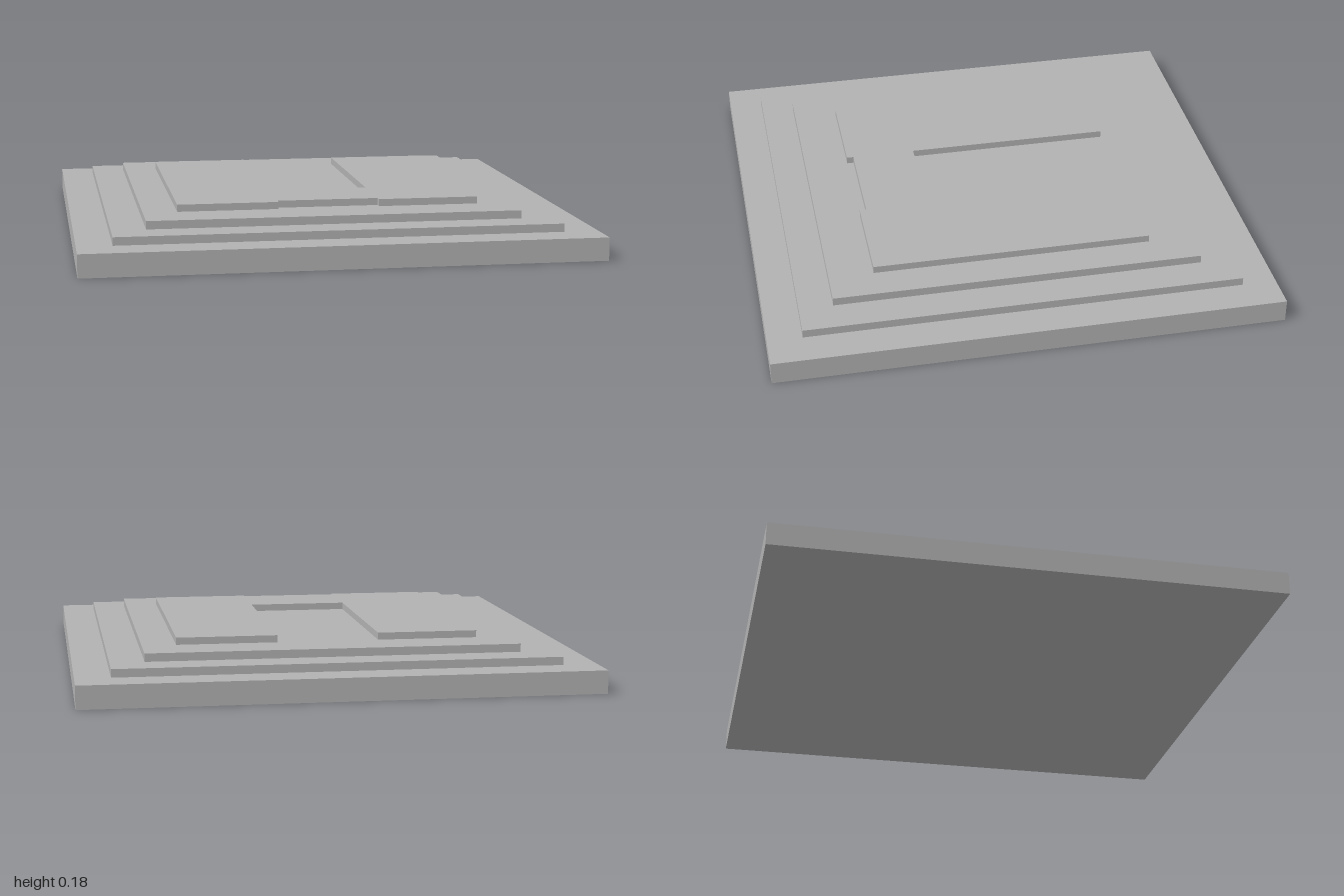
import * as THREE from 'three';

export function createModel() {
  const group = new THREE.Group();
  const stone = new THREE.MeshStandardMaterial({ color: 0xb2b2b2 });
  stone.name = 'grey stone';

  const add = (name, geometry, y) => {
    const mesh = new THREE.Mesh(geometry, stone);
    mesh.name = name;
    mesh.position.y = y;
    group.add(mesh);
  };

  // Square steps: name, half width, bottom, top
  const tiers = [
    ['basePlinth', 1, 0, 0.09],
    ['lowerStep', 0.864, 0.09, 0.122],
    ['upperStep', 0.731, 0.122, 0.154],
  ];
  for (const [name, half, y0, y1] of tiers) {
    add(name, new THREE.BoxGeometry(half * 2, y1 - y0, half * 2), (y0 + y1) / 2);
  }

  // U-shaped top slab, open to the back, with a shallow recess in front
  const right = [[0.2, -0.527], [0.2, -0.554], [0.597, -0.554], [0.597, 0.554], [0.2, 0.554], [0.2, -0.27]];
  const left = right.map(([x, y]) => [-x, y]).reverse();
  const outline = new THREE.Shape([...right, ...left].map(([x, y]) => new THREE.Vector2(x, y)));
  const slab = new THREE.ExtrudeGeometry(outline, { depth: 0.028, bevelEnabled: false });
  slab.rotateX(-Math.PI / 2);
  add('topSlab', slab, 0.154);

  return group;
}
